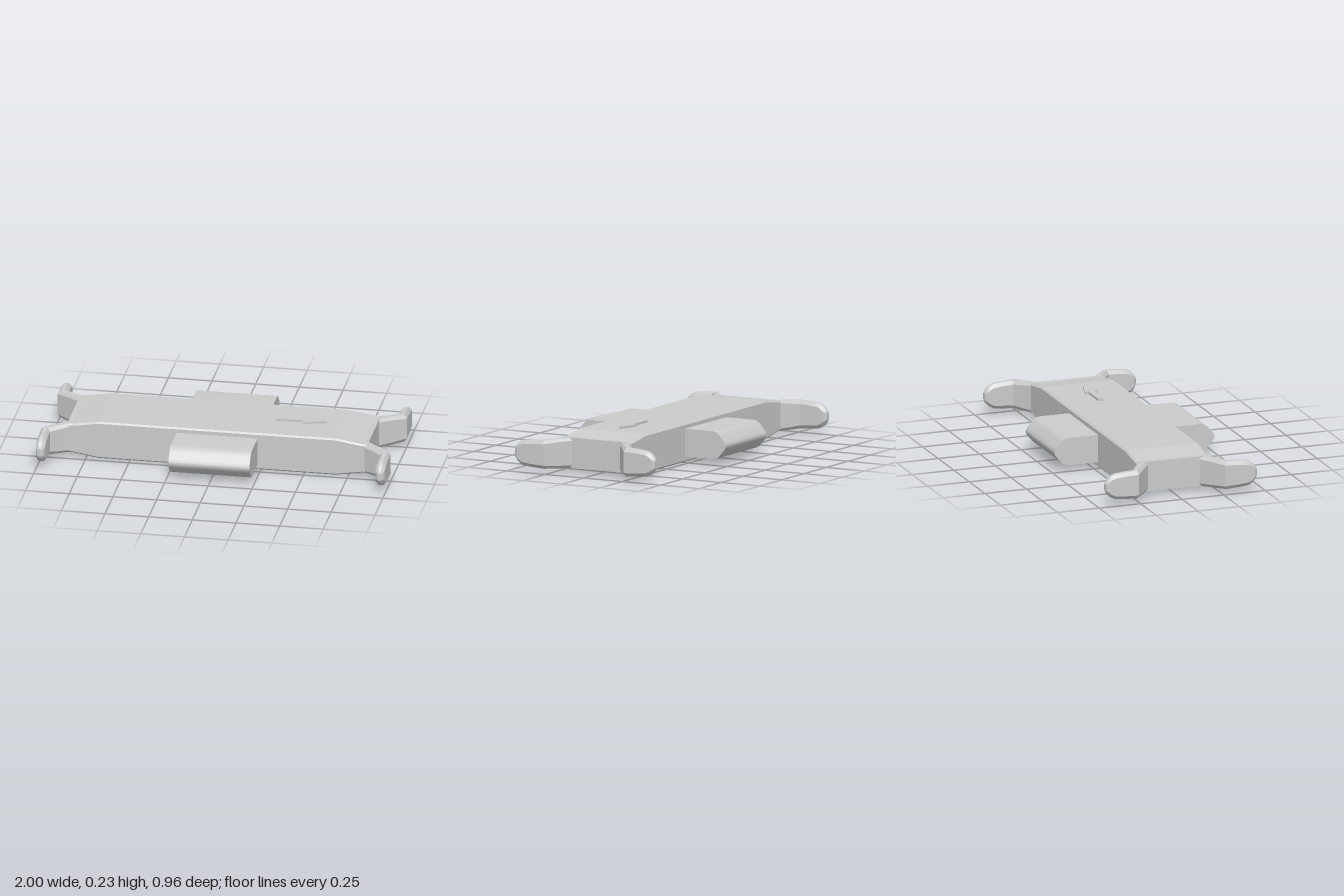
import * as THREE from 'three';
import { toCreasedNormals } from 'three/addons/utils/BufferGeometryUtils.js';

const MID = 0.11; // mid height of the arms and clips

function shapeOf(points) {
  return new THREE.Shape(points.map(([x, y]) => new THREE.Vector2(x, y)));
}

// Arm lofted through chamfered sections: [inner x, inner z, outer x, outer z, half height, chamfer]
const ARM = [
  [0.845, 0.219, 0.860, 0.155, 0.086, 0.012],
  [0.895, 0.252, 0.925, 0.204, 0.085, 0.014],
  [0.945, 0.288, 1.000, 0.260, 0.081, 0.016],
  [0.945, 0.350, 1.000, 0.350, 0.077, 0.016],
  [0.945, 0.400, 1.000, 0.400, 0.072, 0.016],
  [0.945, 0.422, 1.000, 0.422, 0.062, 0.016],
  [0.947, 0.438, 0.998, 0.438, 0.048, 0.016],
  [0.955, 0.450, 0.991, 0.450, 0.033, 0.010],
  [0.962, 0.455, 0.984, 0.455, 0.022, 0.006],
];

function armGeometry(sx, sz) {
  const pos = [];
  const rings = ARM.map(([ix, iz, ox, oz, h, c]) => {
    const width = Math.hypot(ox - ix, oz - iz);
    const t = c / width;
    const v = c * 1.25;
    const loop = [[t, -h], [1 - t, -h], [1, v - h], [1, h - v], [1 - t, h], [t, h], [0, h - v], [0, v - h]];
    return loop.map(([a, y]) => [sx * (ix + (ox - ix) * a), MID + y, sz * (iz + (oz - iz) * a)]);
  });
  const tri = (a, b, c) => (sx * sz > 0 ? pos.push(...a, ...b, ...c) : pos.push(...a, ...c, ...b));
  for (let i = 0; i < rings.length - 1; i++) {
    for (let j = 0; j < 8; j++) {
      const k = (j + 1) % 8;
      tri(rings[i][j], rings[i][k], rings[i + 1][k]);
      tri(rings[i][j], rings[i + 1][k], rings[i + 1][j]);
    }
  }
  // Tip cap
  const tip = rings[rings.length - 1];
  for (let j = 1; j < 7; j++) tri(tip[0], tip[j], tip[j + 1]);
  const geometry = new THREE.BufferGeometry();
  geometry.setAttribute('position', new THREE.Float32BufferAttribute(pos, 3));
  return toCreasedNormals(geometry, 0.3);
}

export function createModel() {
  const model = new THREE.Group();
  const material = new THREE.MeshStandardMaterial({ color: 0xcccccc });
  const add = (name, geometry) => {
    const mesh = new THREE.Mesh(geometry, material);
    mesh.name = name;
    model.add(mesh);
    return mesh;
  };

  // Long slab, thinner towards both ends, with small bevels along its sides
  const bevel = 0.009;
  const body = new THREE.ExtrudeGeometry(shapeOf([
    [-0.68, 0], [0.68, 0], [0.83, 0.024], [0.86, 0.024], [0.86, 0.198], [0.83, 0.198],
    [0.68, 0.221], [-0.68, 0.221], [-0.83, 0.198], [-0.86, 0.198], [-0.86, 0.024], [-0.83, 0.024],
  ]), {
    depth: 0.438 - 2 * bevel, bevelEnabled: true, bevelSegments: 1,
    bevelThickness: bevel, bevelSize: bevel, bevelOffset: -bevel,
  });
  body.translate(0, 0, -0.219 + bevel);
  add('body', toCreasedNormals(body, 0.1));

  // Four bent arms at the corners
  for (const sx of [-1, 1]) {
    for (const sz of [-1, 1]) {
      add(`${sz > 0 ? 'front' : 'back'}${sx > 0 ? 'Left' : 'Right'}Arm`, armGeometry(sx, sz));
    }
  }

  // Rounded side clips
  const profile = new THREE.Shape();
  profile.moveTo(0.15, 0.031);
  profile.lineTo(0.40, 0.031);
  profile.quadraticCurveTo(0.425, 0.034, 0.443, 0.054);
  profile.lineTo(0.470, 0.086);
  profile.quadraticCurveTo(0.491, 0.111, 0.470, 0.136);
  profile.lineTo(0.443, 0.167);
  profile.quadraticCurveTo(0.425, 0.188, 0.40, 0.191);
  profile.lineTo(0.15, 0.191);
  for (const s of [-1, 1]) {
    const clip = new THREE.ExtrudeGeometry(profile, { depth: 0.464, bevelEnabled: false, curveSegments: 8 });
    clip.translate(0, 0, -0.232);
    clip.rotateY(-s * Math.PI / 2);
    add(s > 0 ? 'frontClip' : 'backClip', toCreasedNormals(clip, 0.5));
  }

  // Raised direction arrow on the top
  const arrow = new THREE.ExtrudeGeometry(shapeOf([
    [0.305, -0.017], [0.46, -0.017], [0.46, -0.041], [0.594, 0],
    [0.46, 0.041], [0.46, 0.017], [0.305, 0.017],
  ]), { depth: 0.02, bevelEnabled: false });
  arrow.rotateX(-Math.PI / 2);
  arrow.translate(0, 0.215, 0);
  add('directionArrow', arrow);

  return model;
}
